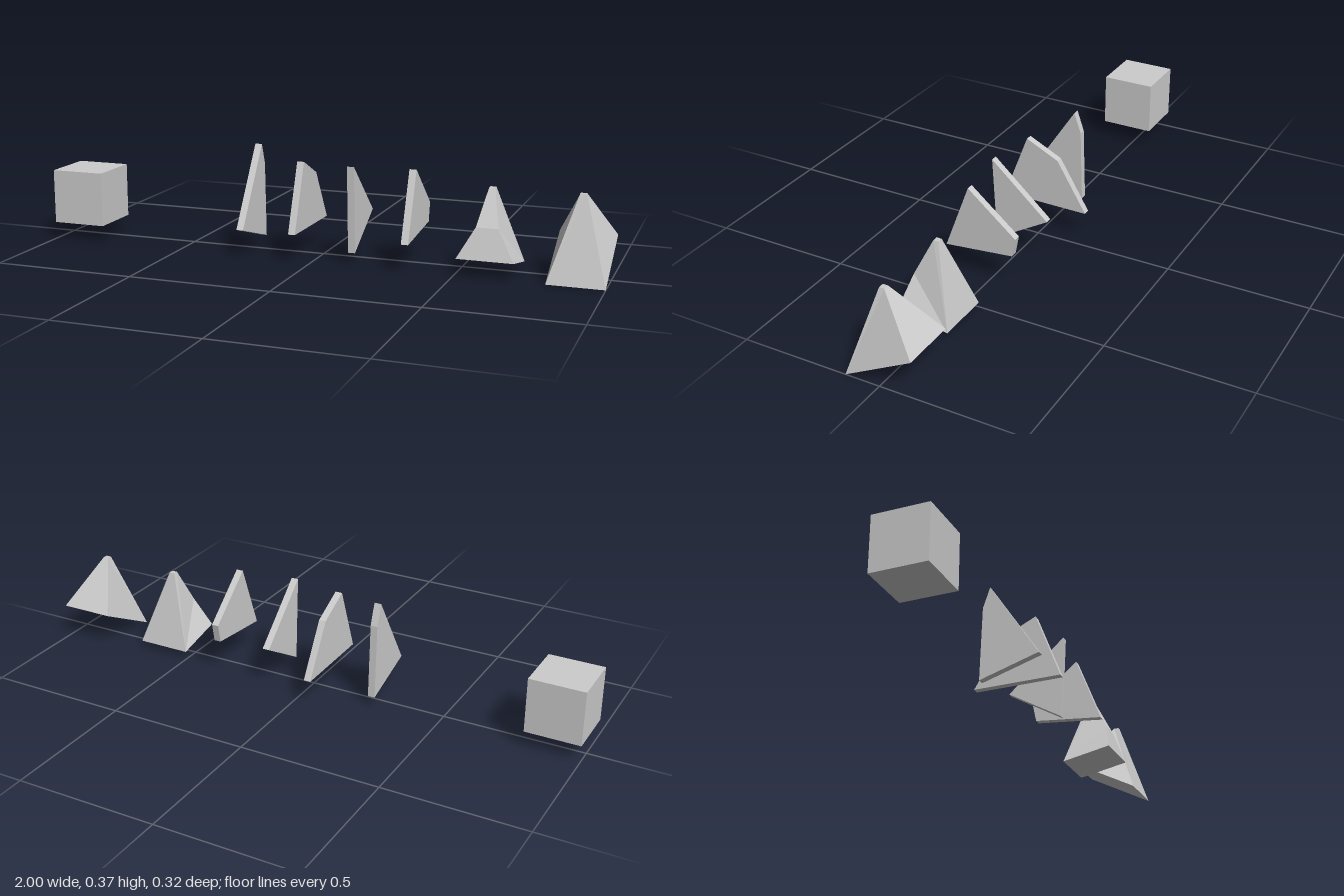
import * as THREE from 'three';

const material = new THREE.MeshStandardMaterial({ color: 0xcccccc, flatShading: true });

// Flat plate: side outline given as [z, y], counter-clockwise seen from +x
function plate(name, x, outline, thickness = 0.025) {
  const shape = new THREE.Shape(outline.map(([z, y]) => new THREE.Vector2(-z, y)));
  const geometry = new THREE.ExtrudeGeometry(shape, { depth: thickness, bevelEnabled: false });
  geometry.translate(0, 0, -thickness / 2).rotateY(Math.PI / 2);
  const mesh = new THREE.Mesh(geometry, material);
  mesh.name = name;
  mesh.position.x = x;
  return mesh;
}

// Tapered block: side outline as [z, y, halfWidth], mirrored across x
function taperedBlock(name, x, outline) {
  const positions = [];
  const corner = (i, side) => {
    const [z, y, w] = outline[i % outline.length];
    return [side * w, y, z];
  };
  const tri = (a, b, c) => positions.push(...a, ...b, ...c);
  // Faces spanning the width
  for (let i = 0; i < outline.length; i++) {
    tri(corner(i, 1), corner(i, -1), corner(i + 1, -1));
    tri(corner(i, 1), corner(i + 1, -1), corner(i + 1, 1));
  }
  // Both side faces, fanned from the first outline point
  for (let i = 1; i < outline.length - 1; i++) {
    tri(corner(0, 1), corner(i, 1), corner(i + 1, 1));
    tri(corner(0, -1), corner(i + 1, -1), corner(i, -1));
  }
  const geometry = new THREE.BufferGeometry();
  geometry.setAttribute('position', new THREE.Float32BufferAttribute(positions, 3));
  geometry.computeVertexNormals();
  const mesh = new THREE.Mesh(geometry, material);
  mesh.name = name;
  mesh.position.x = x;
  return mesh;
}

export function createModel() {
  const group = new THREE.Group();
  group.name = 'shardSet';

  // Cube
  const cube = new THREE.Mesh(new THREE.BoxGeometry(0.194, 0.194, 0.194), material);
  cube.name = 'cube';
  cube.position.set(-0.903, 0.158, 0.031);
  group.add(cube);

  // Thin flat shards
  group.add(
    plate('tallShard', -0.251, [[0.16, 0.1], [-0.053, 0.035], [-0.043, 0.3], [-0.017, 0.374]]),
    plate('wideShard', -0.059, [[0.16, 0.1], [-0.16, 0.098], [-0.05, 0.28], [0.07, 0.338]]),
    plate('triangleShard', 0.132, [[0.085, 0.035], [-0.11, 0.15], [0.1, 0.338]]),
    plate('bluntShard', 0.342, [[0.16, 0.1], [-0.092, 0.125], [-0.105, 0.192], [0.07, 0.338]])
  );

  // Blunt-tipped pyramids on tilted bases
  group.add(
    taperedBlock('kinkedPyramid', 0.605, [
      [-0.054, 0.023, 0.097], [0.022, 0.29, 0.01], [0.04, 0.29, 0.01],
      [0.1, 0.165, 0.038], [0.128, 0.06, 0.097],
    ]),
    taperedBlock('tiltedPyramid', 0.903, [
      [0.123, 0.0, 0.097], [-0.117, 0.127, 0.097], [0.022, 0.29, 0.01], [0.04, 0.29, 0.01],
    ])
  );
  return group;
}
